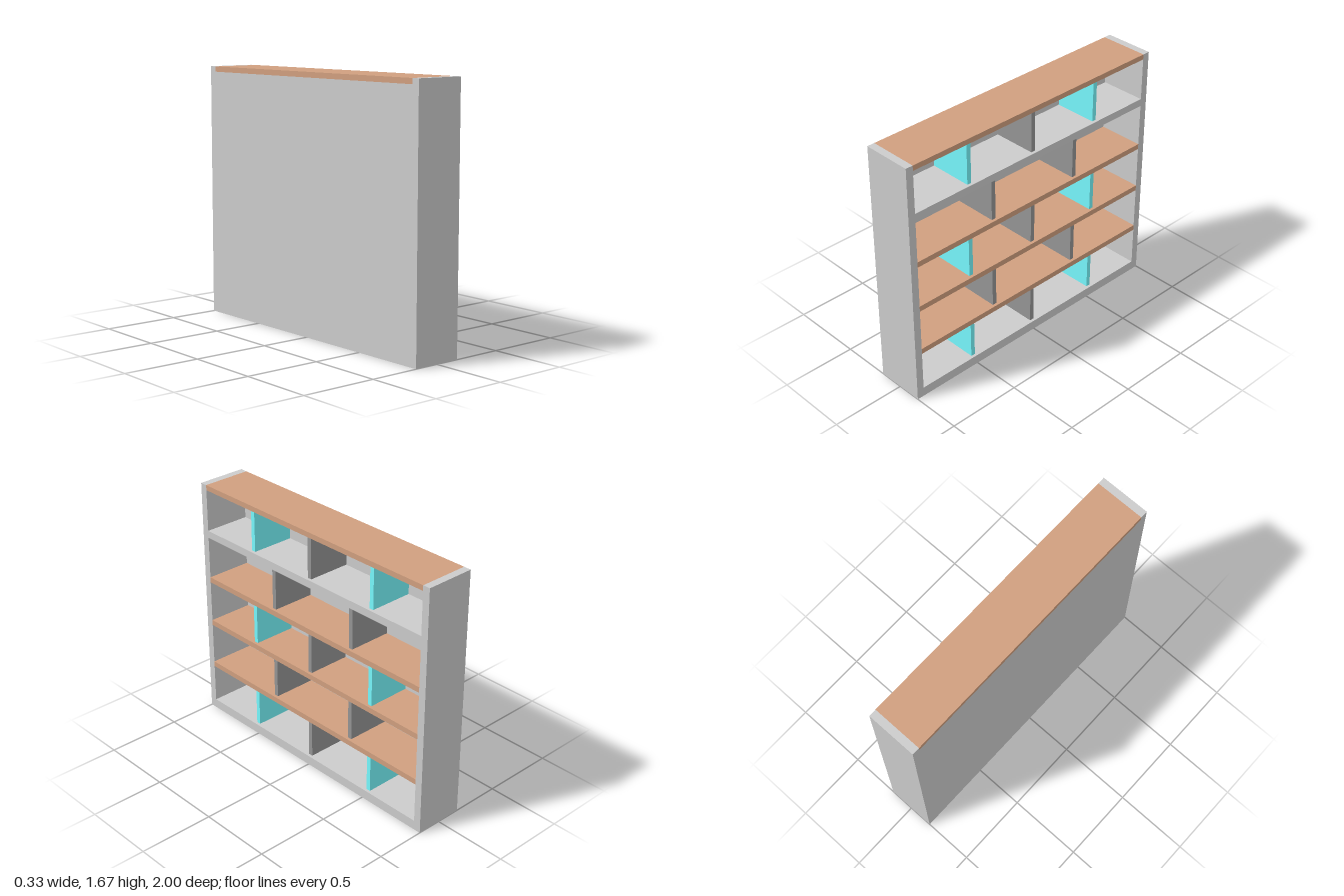
import * as THREE from 'three';

export function createModel() {
  const group = new THREE.Group();
  group.name = 'shelvingUnit';

  const material = (color) => new THREE.MeshStandardMaterial({ color });
  const grey = material(0xcccccc);
  const darkGrey = material(0x959595);
  const wood = material(0xd09f7f);
  const teal = material(0x77f8fd);

  const HALF_DEPTH = 0.167, HEIGHT = 1.67, INNER = 0.95;
  const BACK = -HALF_DEPTH + 0.02; // inner face of the back panel

  // Box given by its limits on each axis
  function box(name, mat, [x0, x1], [y0, y1], [z0, z1]) {
    const mesh = new THREE.Mesh(new THREE.BoxGeometry(x1 - x0, y1 - y0, z1 - z0), mat);
    mesh.position.set((x0 + x1) / 2, (y0 + y1) / 2, (z0 + z1) / 2);
    mesh.name = name;
    group.add(mesh);
  }

  // Frame: end panels, back panel, base and fixed shelf
  const full = [-HALF_DEPTH, HALF_DEPTH];
  const inside = [BACK, HALF_DEPTH];
  const span = [-INNER, INNER];
  box('frontEndPanel', grey, full, [0, HEIGHT], [INNER, 1]);
  box('rearEndPanel', grey, full, [0, HEIGHT], [-1, -INNER]);
  box('backPanel', grey, [-HALF_DEPTH, BACK], [0, 1.635], span);
  box('base', grey, inside, [0, 0.064], span);
  box('fixedShelf', grey, inside, [1.3, 1.35], span);

  // Wooden top and shelves
  box('topBoard', wood, full, [1.635, HEIGHT], span);
  for (const y of [0.332, 0.654, 0.976]) box('woodenShelf', wood, inside, [y, y + 0.037], span);

  // Dividers, set slightly back from the open side, alternating by row
  const rows = [[0.064, 0.332], [0.369, 0.654], [0.691, 0.976], [1.013, 1.3], [1.35, 1.635]];
  const threeWay = [[0.52, teal], [0, darkGrey], [-0.533, teal]];
  const twoWay = [[0.33, darkGrey], [-0.362, darkGrey]];
  rows.forEach((row, i) => {
    for (const [z, mat] of i % 2 ? twoWay : threeWay) {
      box(mat === teal ? 'tealDivider' : 'greyDivider', mat,
        [BACK, HALF_DEPTH - 0.02], row, [z - 0.015, z + 0.015]);
    }
  });

  return group;
}
